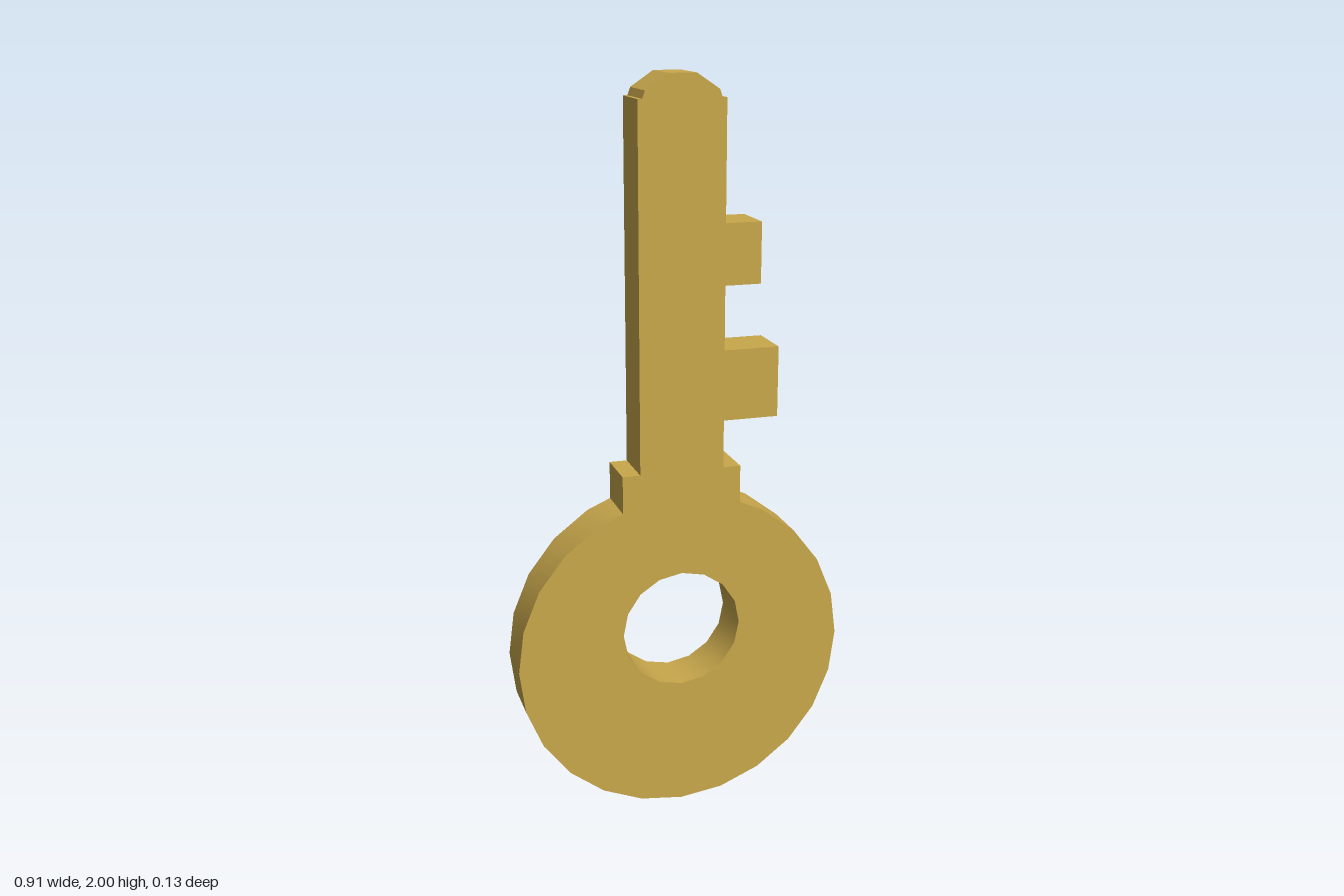
import * as THREE from 'three';
import { toCreasedNormals } from 'three/addons/utils/BufferGeometryUtils.js';

const DEPTH = 0.134;

// Points on a circle, every stepDeg degrees from one angle to the other
function arc(cy, r, fromDeg, toDeg, stepDeg) {
  const pts = [];
  for (let a = fromDeg; a <= toDeg; a += stepDeg) {
    const t = THREE.MathUtils.degToRad(a);
    pts.push(new THREE.Vector2(r * Math.cos(t), cy + r * Math.sin(t)));
  }
  return pts;
}

export function createModel() {
  const group = new THREE.Group();
  group.name = 'key';
  const brass = new THREE.MeshStandardMaterial({ color: 0xc9a84c });
  brass.name = 'brass';

  // Right side of the blade, bottom to top: collar, two teeth, stepped tip
  const collar = [[0.163, 0.877], [0.163, 0.98], [0.115, 0.98]];
  const teeth = [[1.11, 1.30, 0.265], [1.47, 1.63, 0.212]].flatMap(
    ([y0, y1, x]) => [[0.115, y0], [x, y0], [x, y1], [0.115, y1]]);
  const tip = [[0.115, 1.94], [0.103, 1.94], [0.096, 1.96], [0.036, 2.0]];
  const mirrored = [...collar, ...tip].reverse().map(([x, y]) => [-x, y]);

  // One continuous outline: round bow below, blade above
  const outline = [
    ...arc(0.455, 0.455, 120, 420, 15),
    ...[...collar, ...teeth, ...tip, ...mirrored].map(([x, y]) => new THREE.Vector2(x, y)),
  ];
  const shape = new THREE.Shape(outline);

  // Ring hole, a little above the centre of the bow
  shape.holes.push(new THREE.Path(arc(0.525, 0.165, 0, 337.5, 22.5)));

  const solid = new THREE.ExtrudeGeometry(shape, { depth: DEPTH, bevelEnabled: false });
  solid.translate(0, 0, -DEPTH / 2);

  // Smooth around the bow and hole, sharp at the blade corners
  const body = new THREE.Mesh(toCreasedNormals(solid, 0.5), brass);
  body.name = 'keyBody';
  group.add(body);
  return group;
}
